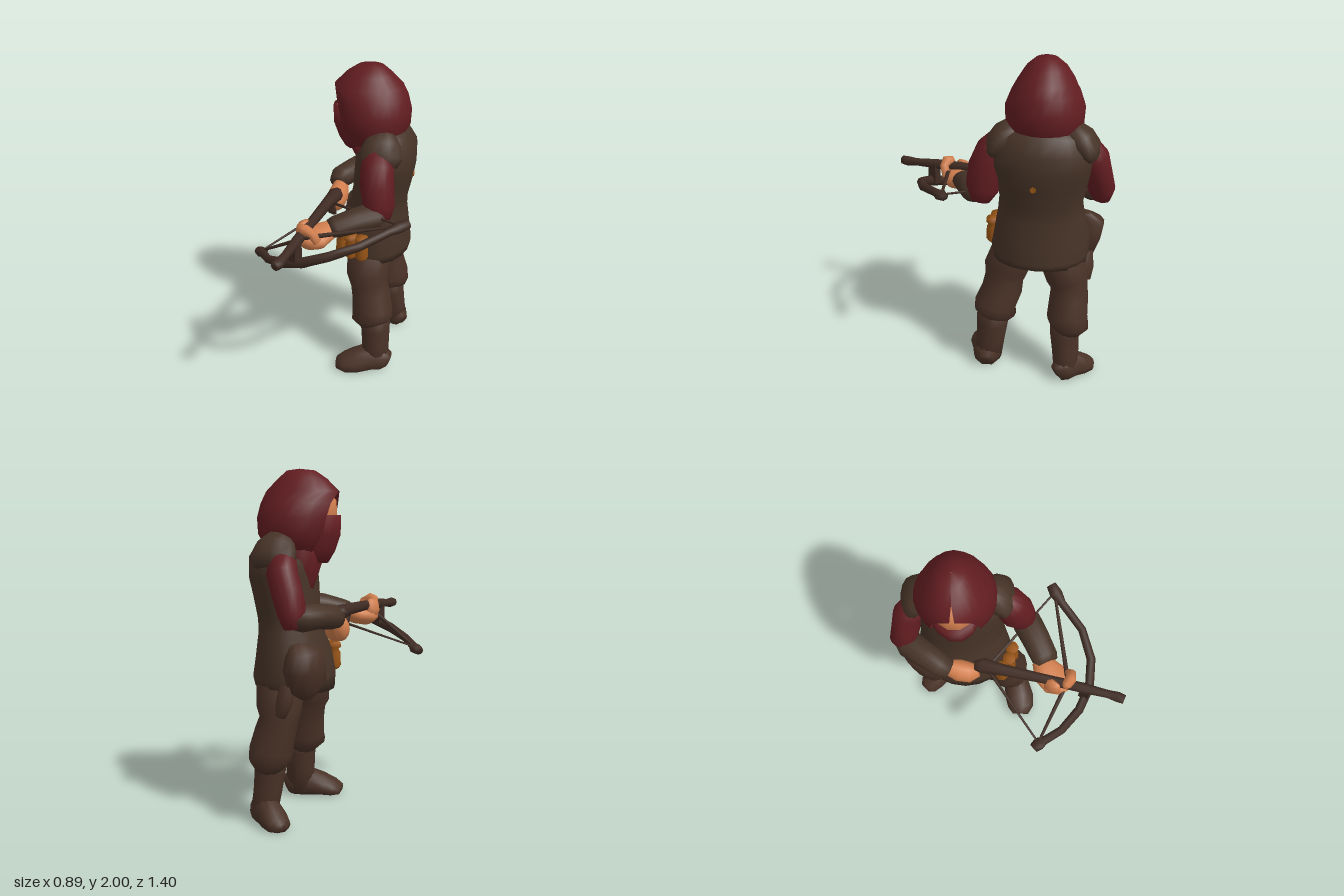
import * as THREE from 'three';

const mat = (name, color) => Object.assign(new THREE.MeshStandardMaterial({ color }), { name });
const V = (x, y, z) => new THREE.Vector3(x, y, z);
const UP = V(0, 1, 0), BACK = V(0, 0, -1);

// Closed skin over elliptical rings [x, y, z, halfWidth, halfHeight]; fold adds cloth ripples
function loft(rings, ref = BACK, { sides = 14, fold = 0, floor = false } = {}) {
  const pts = rings.map(r => V(r[0], r[1], r[2])), pos = [], idx = [], last = rings.length - 1;
  const put = p => pos.push(p.x, floor ? Math.max(p.y, 0.005) : p.y, p.z);
  pts.forEach((c, i) => {
    const t = pts[Math.min(i + 1, last)].clone().sub(pts[Math.max(i - 1, 0)]).normalize();
    const side = ref.clone().cross(t).normalize(), other = t.clone().cross(side);
    for (let k = 0; k < sides; k++) {
      const a = k / sides * Math.PI * 2, m = 1 + fold * Math.sin(3 * a + i * 2.1);
      put(c.clone().addScaledVector(side, Math.cos(a) * rings[i][3] * m)
        .addScaledVector(other, Math.sin(a) * rings[i][4] * m));
      const n = (k + 1) % sides, p = i * sides;
      if (i < last) idx.push(p + k, p + n, p + sides + n, p + k, p + sides + n, p + sides + k);
    }
  });
  const s = pos.length / 3;
  put(pts[0]); put(pts[last]);
  for (let k = 0; k < sides; k++) {
    const n = (k + 1) % sides;
    idx.push(s, n, k, s + 1, last * sides + k, last * sides + n);
  }
  return geometry(pos, idx);
}

function geometry(pos, idx) {
  const g = new THREE.BufferGeometry();
  g.setAttribute('position', new THREE.Float32BufferAttribute(pos, 3));
  g.setIndex(idx);
  g.computeVertexNormals();
  return g;
}

// Hood shell from rings [y, z, rx, rz, gap], where gap is the half angle of the face opening
function hoodGeometry(rings, n = 20) {
  const pos = [], idx = [];
  rings.forEach(([y, z, rx, rz, gap], i) => {
    for (let k = 0; k <= n; k++) {
      const a = gap + (Math.PI * 2 - gap * 2) * k / n, p = i * (n + 1) + k;
      pos.push(rx * Math.sin(a), y, z + rz * Math.cos(a));
      if (i < rings.length - 1 && k < n) idx.push(p, p + 1, p + n + 2, p, p + n + 2, p + n + 1);
    }
  });
  return geometry(pos, idx);
}

export function createModel() {
  const vestMat = mat('vest brown', 0x463327), clothMat = mat('trouser brown', 0x493227);
  const woodMat = mat('dark wood', 0x3f2b23), redMat = mat('dark red cloth', 0x621d21);
  const skinMat = mat('skin', 0xd27f4e), leatherMat = mat('tan leather', 0x995516);
  redMat.side = THREE.DoubleSide;

  const model = new THREE.Group();
  model.name = 'hoodedCrossbowman';
  const add = (name, geo, m, parent = model) => {
    const mesh = new THREE.Mesh(geo, m);
    mesh.name = name;
    parent.add(mesh);
    return mesh;
  };

  // Upper body, turned towards its right
  const body = new THREE.Group();
  body.name = 'upperBody';
  body.position.set(-0.05, 0, -0.36);
  body.rotation.y = -Math.PI / 3;
  model.add(body);

  add('vest', loft([
    [0, 0.78, 0.02, 0.28, 0.23], [0, 0.84, 0.025, 0.295, 0.235], [0, 0.96, 0.015, 0.282, 0.215],
    [0, 1.1, 0, 0.255, 0.182], [0, 1.18, -0.005, 0.245, 0.175], [0, 1.32, -0.025, 0.265, 0.185],
    [0, 1.42, -0.04, 0.285, 0.19], [0, 1.5, -0.045, 0.29, 0.18], [0, 1.56, -0.03, 0.25, 0.15],
    [0, 1.6, -0.01, 0.18, 0.11]], BACK, { sides: 20, fold: 0.015 }), vestMat, body);
  add('scarf', loft([[-0.08, 1.33, 0.1, 0.04, 0.05], [-0.06, 1.41, 0.08, 0.1, 0.1],
    [-0.03, 1.49, 0.06, 0.155, 0.135], [0, 1.58, 0.04, 0.165, 0.15]], BACK, { fold: 0.03 }), redMat, body);
  // Vest shoulders draped over the sleeve tops
  for (const s of [-1, 1]) {
    add(s > 0 ? 'leftShoulder' : 'rightShoulder', loft([[s * 0.285, 1.47, -0.03, 0.04, 0.1],
      [s * 0.26, 1.51, -0.03, 0.075, 0.13], [s * 0.215, 1.56, -0.025, 0.085, 0.12],
      [s * 0.16, 1.6, -0.015, 0.075, 0.09], [s * 0.12, 1.62, 0, 0.03, 0.05]]), vestMat, body);
  }
  const stud = add('backStud', new THREE.CylinderGeometry(0.018, 0.018, 0.02, 8), leatherMat, body);
  stud.rotation.x = Math.PI / 2;
  stud.position.set(0.03, 1.32, -0.207);

  // Head with mask and hood
  add('head', loft([[0, 1.66, 0.06, 0.13, 0.18], [0, 1.75, 0.07, 0.145, 0.2],
    [0, 1.81, 0.07, 0.145, 0.195], [0, 1.87, 0.06, 0.1, 0.15]]), skinMat, body);
  add('mask', loft([[0, 1.5, 0.05, 0.11, 0.17], [0, 1.58, 0.06, 0.14, 0.2],
    [0, 1.66, 0.08, 0.15, 0.21], [0, 1.745, 0.08, 0.147, 0.212]]), redMat, body);
  add('hood', hoodGeometry([[1.52, 0.04, 0.15, 0.15, 0.9], [1.575, 0.04, 0.19, 0.185, 0.75],
    [1.64, 0.04, 0.222, 0.22, 0.64], [1.73, 0.045, 0.226, 0.23, 0.6],
    [1.81, 0.06, 0.195, 0.225, 0.52], [1.875, 0.073, 0.16, 0.208, 0.08],
    [1.945, 0.073, 0.115, 0.14, 0], [1.99, 0.065, 0.065, 0.08, 0], [2, 0.055, 0.002, 0.002, 0]]), redMat, body);

  // Legs: trousers, boot shafts and feet, in their stepped stance
  const legs = {
    left: {
      trouser: [[-0.02, 0.9, -0.25, 0.1, 0.09], [-0.005, 0.78, -0.19, 0.145, 0.135], [0.015, 0.67, -0.16, 0.14, 0.135],
        [0.035, 0.61, -0.155, 0.12, 0.12], [0.05, 0.53, -0.15, 0.125, 0.127], [0.08, 0.43, -0.13, 0.135, 0.127],
        [0.085, 0.38, -0.125, 0.14, 0.13], [0.1, 0.335, -0.12, 0.1, 0.1]],
      shaft: [[0.1, 0.42, -0.125, 0.1, 0.105], [0.11, 0.3, -0.125, 0.095, 0.1], [0.12, 0.18, -0.115, 0.09, 0.09],
        [0.125, 0.04, -0.1, 0.088, 0.085]],
      foot: [[0.2, 0.05, -0.15, 0.05, 0.06], [0.165, 0.07, -0.125, 0.085, 0.09], [0.1, 0.07, -0.07, 0.09, 0.1],
        [0.03, 0.05, -0.005, 0.1, 0.08], [-0.025, 0.035, 0.035, 0.09, 0.06], [-0.07, 0.025, 0.06, 0.055, 0.035]],
    },
    right: {
      trouser: [[-0.1, 0.9, -0.46, 0.1, 0.1], [-0.1, 0.78, -0.495, 0.14, 0.135], [-0.12, 0.67, -0.525, 0.13, 0.125],
        [-0.12, 0.61, -0.535, 0.115, 0.11], [-0.105, 0.53, -0.545, 0.12, 0.118], [-0.085, 0.43, -0.56, 0.122, 0.125],
        [-0.08, 0.38, -0.565, 0.12, 0.13], [-0.07, 0.335, -0.555, 0.09, 0.1]],
      shaft: [[-0.08, 0.42, -0.55, 0.09, 0.1], [-0.07, 0.3, -0.555, 0.088, 0.09], [-0.06, 0.18, -0.57, 0.085, 0.08],
        [-0.05, 0.04, -0.59, 0.08, 0.075]],
      foot: [[0.02, 0.05, -0.565, 0.045, 0.06], [-0.02, 0.07, -0.58, 0.075, 0.09], [-0.09, 0.07, -0.595, 0.078, 0.1],
        [-0.16, 0.045, -0.615, 0.08, 0.075], [-0.22, 0.03, -0.635, 0.07, 0.05], [-0.25, 0.025, -0.645, 0.035, 0.03]],
    },
  };
  for (const [side, leg] of Object.entries(legs)) {
    add(side + 'Trouser', loft([...leg.trouser].reverse(), BACK, { fold: 0.035 }), clothMat);
    add(side + 'BootShaft', loft([...leg.shaft].reverse(), BACK, { fold: 0.02 }), clothMat);
    add(side + 'Foot', loft(leg.foot, UP, { floor: true }), clothMat);
  }

  // Arms: red sleeves, brown forearms, bare hands
  add('leftSleeve', loft([[0.17, 1.16, -0.075, 0.055, 0.065], [0.155, 1.24, -0.08, 0.09, 0.105],
    [0.125, 1.36, -0.09, 0.105, 0.105], [0.1, 1.47, -0.12, 0.1, 0.1], [0.07, 1.54, -0.15, 0.07, 0.07]],
    BACK, { fold: 0.03 }), redMat);
  add('leftForearm', loft([[0.17, 1.2, -0.09, 0.05, 0.05], [0.15, 1.2, -0.03, 0.09, 0.075],
    [0.09, 1.19, 0.07, 0.085, 0.07], [0.02, 1.165, 0.17, 0.08, 0.06], [0, 1.16, 0.2, 0.065, 0.05]],
    UP, { fold: 0.02 }), vestMat);
  add('leftHand', loft([[0, 1.15, 0.16, 0.06, 0.045], [-0.04, 1.125, 0.22, 0.09, 0.055],
    [-0.055, 1.115, 0.29, 0.1, 0.06], [-0.055, 1.12, 0.34, 0.075, 0.05], [-0.05, 1.14, 0.37, 0.04, 0.03]],
    UP), skinMat);
  // Fingers and thumb closing round the stock
  add('leftFingers', loft([[-0.115, 1.12, 0.29, 0.03, 0.05], [-0.125, 1.16, 0.3, 0.028, 0.055],
    [-0.115, 1.2, 0.305, 0.024, 0.05], [-0.1, 1.215, 0.31, 0.012, 0.03]], BACK, { sides: 8 }), skinMat);
  add('leftThumb', loft([[-0.09, 1.19, 0.365, 0.018, 0.02], [-0.075, 1.205, 0.37, 0.035, 0.03],
    [-0.04, 1.215, 0.375, 0.035, 0.034], [0, 1.2, 0.36, 0.025, 0.028], [0.01, 1.14, 0.33, 0.025, 0.03]],
    BACK, { sides: 8 }), skinMat);
  add('rightSleeve', loft([[-0.31, 1.15, -0.6, 0.045, 0.06], [-0.305, 1.22, -0.605, 0.08, 0.08],
    [-0.265, 1.33, -0.6, 0.085, 0.085], [-0.22, 1.44, -0.595, 0.088, 0.085], [-0.19, 1.52, -0.56, 0.07, 0.07]],
    BACK, { fold: 0.03 }), redMat);
  add('rightForearm', loft([[-0.31, 1.2, -0.63, 0.05, 0.05], [-0.32, 1.2, -0.56, 0.085, 0.075],
    [-0.33, 1.2, -0.44, 0.08, 0.07], [-0.335, 1.19, -0.33, 0.075, 0.07], [-0.325, 1.17, -0.28, 0.06, 0.055]],
    UP, { fold: 0.02 }), vestMat);
  add('rightHand', loft([[-0.32, 1.16, -0.31, 0.045, 0.045], [-0.29, 1.11, -0.24, 0.065, 0.075],
    [-0.265, 1.1, -0.18, 0.06, 0.075], [-0.235, 1.11, -0.14, 0.035, 0.045]], UP), skinMat);

  // Crossbow
  const bow = new THREE.Group();
  bow.name = 'crossbow';
  model.add(bow);
  add('stock', loft([[-0.235, 1.18, -0.16, 0.03, 0.03], [-0.215, 1.185, -0.12, 0.048, 0.045], [-0.18, 1.19, 0, 0.036, 0.036],
    [-0.11, 1.185, 0.22, 0.03, 0.032], [-0.04, 1.175, 0.45, 0.032, 0.033], [0.005, 1.165, 0.6, 0.025, 0.025],
    [0.02, 1.16, 0.66, 0.032, 0.032], [0.025, 1.16, 0.7, 0.028, 0.028]], UP, { sides: 8 }), woodMat, bow);
  add('bowLimbs', loft([[-0.44, 0.92, 0.36, 0.03, 0.025], [-0.4, 0.93, 0.375, 0.04, 0.03], [-0.37, 0.94, 0.395, 0.026, 0.024],
    [-0.27, 0.97, 0.455, 0.025, 0.025], [-0.12, 1.02, 0.49, 0.027, 0.032], [0.02, 1.07, 0.48, 0.027, 0.034],
    [0.16, 1.13, 0.41, 0.027, 0.03], [0.28, 1.18, 0.28, 0.025, 0.026], [0.355, 1.22, 0.1, 0.025, 0.024],
    [0.385, 1.235, 0.04, 0.04, 0.03], [0.415, 1.25, -0.01, 0.03, 0.025]], UP, { sides: 8 }), woodMat, bow);
  const mount = add('bowMount', new THREE.BoxGeometry(0.05, 0.13, 0.06), woodMat, bow);
  mount.position.set(-0.03, 1.11, 0.475);
  add('trigger', loft([[-0.2, 1.07, -0.09, 0.014, 0.014], [-0.2, 1.11, -0.06, 0.02, 0.03],
    [-0.19, 1.17, -0.04, 0.025, 0.04]], BACK, { sides: 8 }), woodMat, bow);

  // Drawn string and braces from each limb tip
  const nut = [-0.2, 1.13, -0.1], front = [-0.04, 1.16, 0.36];
  for (const tip of [[-0.4, 0.94, 0.37], [0.385, 1.24, 0.03]]) {
    add('bowString', loft([[...tip, 0.006, 0.006], [...nut, 0.009, 0.009]], UP, { sides: 6 }), woodMat, bow);
    add('bowBrace', loft([[...tip, 0.008, 0.008], [...front, 0.014, 0.014]], UP, { sides: 6 }), woodMat, bow);
  }

  // Belt gear: tan flasks, hip pouch and thigh sheath
  [[-0.11, -0.055], [-0.035, -0.045], [0.035, -0.065]].forEach(([x, z], i) => {
    const flask = add('flask' + (i + 1), loft([[0, -0.08, 0, 0.028, 0.028], [0, -0.06, 0, 0.042, 0.042],
      [0, 0.02, 0, 0.038, 0.038], [0, 0.04, 0, 0.028, 0.028], [0, 0.05, 0, 0.042, 0.042],
      [0, 0.08, 0, 0.04, 0.04]], BACK, { sides: 8 }), leatherMat);
    flask.position.set(x, 0.91, z);
  });
  add('hipPouch', loft([[-0.26, 0.77, -0.44, 0.05, 0.07], [-0.275, 0.82, -0.47, 0.09, 0.12],
    [-0.285, 0.92, -0.49, 0.095, 0.14], [-0.3, 1, -0.51, 0.08, 0.13], [-0.27, 1.03, -0.5, 0.04, 0.08]],
    BACK, { fold: 0.04 }), clothMat);
  add('thighSheath', loft([[-0.2, 0.65, -0.6, 0.035, 0.03], [-0.22, 0.72, -0.59, 0.05, 0.04],
    [-0.23, 0.82, -0.57, 0.05, 0.04]], BACK, { sides: 8 }), clothMat);
  return model;
}
